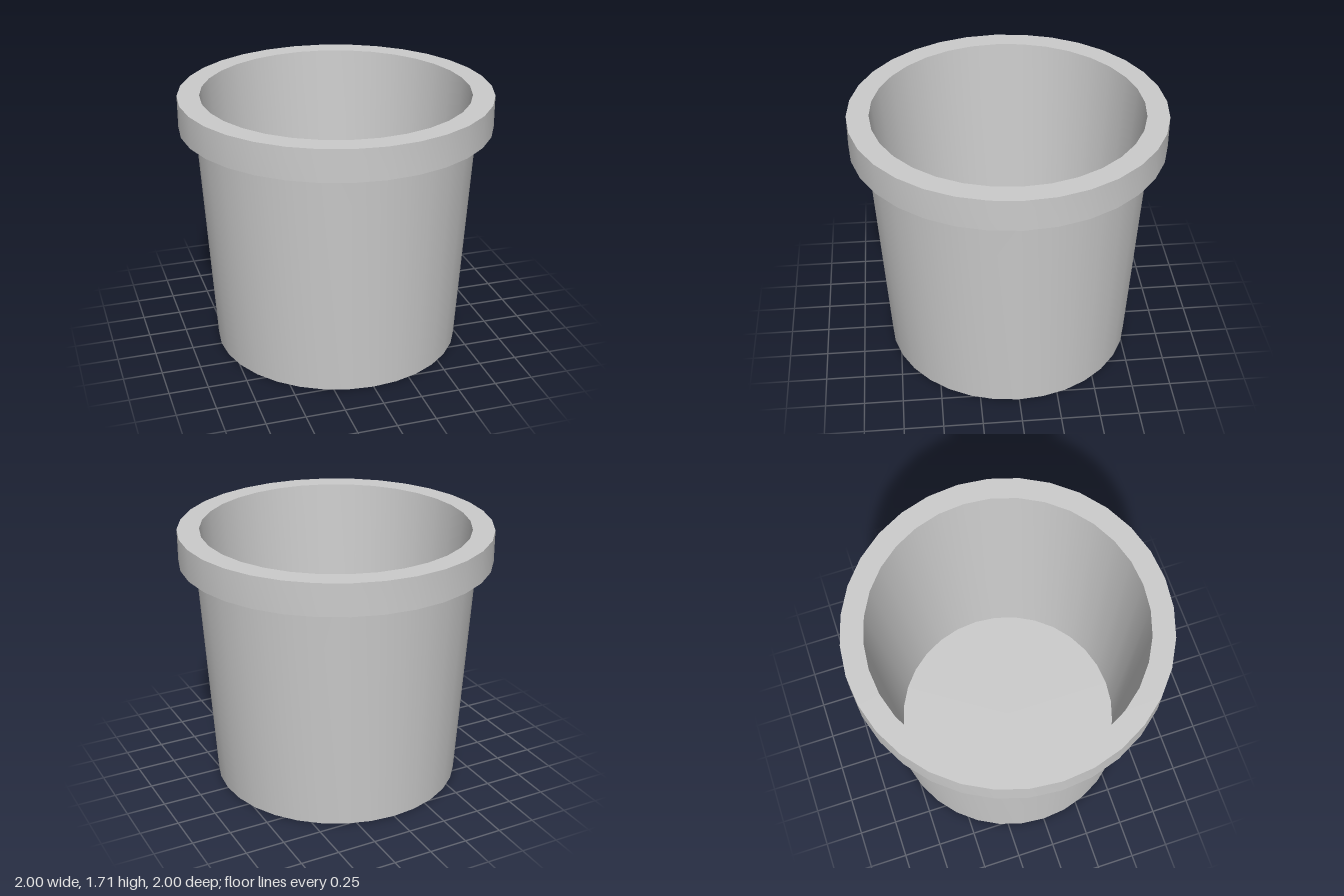
import * as THREE from 'three';
import { toCreasedNormals } from 'three/addons/utils/BufferGeometryUtils.js';

const SIDES = 32;
const HEIGHT = 1.705;
const RIM_BOTTOM = 1.5;
const FLOOR = 0.05;

// Turns a [radius, height] profile into a smooth round part with sharp edges
function turned(name, profile, material) {
  const points = profile.map(([r, y]) => new THREE.Vector2(r, y));
  const geometry = toCreasedNormals(new THREE.LatheGeometry(points, SIDES), Math.PI / 6);
  const mesh = new THREE.Mesh(geometry, material);
  mesh.name = name;
  return mesh;
}

export function createModel() {
  const group = new THREE.Group();
  group.name = 'plantPot';
  const material = new THREE.MeshStandardMaterial({ color: 0xcccccc, side: THREE.DoubleSide });

  group.add(
    // Underside and tapered outer wall
    turned('outerWall', [[0, 0], [0.805, 0], [0.895, RIM_BOTTOM]], material),
    // Wide collar around the mouth
    turned('rim', [[0.895, RIM_BOTTOM], [1, RIM_BOTTOM], [1, HEIGHT], [0.86, HEIGHT]], material),
    // Tapered inside wall and floor
    turned('interior', [[0.86, HEIGHT], [0.755, FLOOR], [0, FLOOR]], material),
  );
  return group;
}
